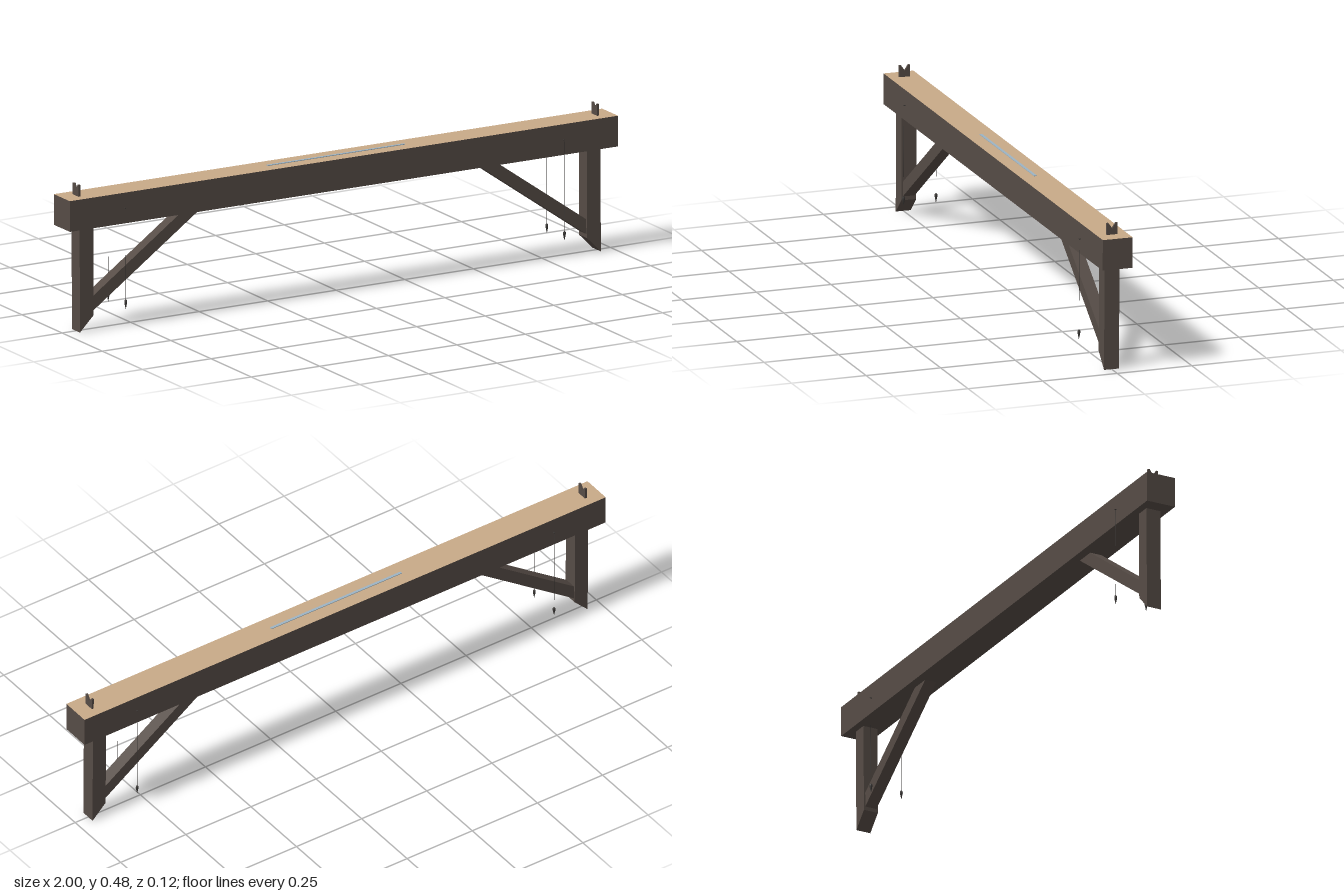
import * as THREE from 'three';

function material(name, color) {
  const m = new THREE.MeshStandardMaterial({ color });
  m.name = name;
  return m;
}

export function createModel() {
  const darkWood = material('dark wood', 0x564c46);
  const lightWood = material('light wood', 0xc8aa88);
  const water = material('water', 0x9db4c4);
  const iron = material('dark iron', 0x3a3735);

  const group = new THREE.Group();
  group.name = 'levellingBench';
  // the whole bench leans very slightly backwards
  const bench = new THREE.Group();
  bench.name = 'bench';
  bench.rotation.x = -0.006;
  bench.position.z = 0.001;
  group.add(bench);

  function add(name, geometry, mat, x = 0, y = 0, z = 0) {
    const mesh = new THREE.Mesh(geometry, mat);
    mesh.name = name;
    mesh.position.set(x, y, z);
    bench.add(mesh);
    return mesh;
  }

  // flat outline extruded symmetrically about its own plane
  function plank(points, depth) {
    const shape = new THREE.Shape(points.map(([x, y]) => new THREE.Vector2(x, y)));
    const geometry = new THREE.ExtrudeGeometry(shape, { depth, bevelEnabled: false });
    return geometry.translate(0, 0, -depth / 2);
  }

  // long beam with a pale top face
  const beamFaces = [darkWood, darkWood, lightWood, darkWood, darkWood, darkWood];
  add('beam', new THREE.BoxGeometry(2, 0.1, 0.1), beamFaces, 0, 0.391);

  // narrow water channel in the middle of the top
  add('waterChannel', new THREE.BoxGeometry(0.5, 0.003, 0.009), water, 0, 0.4415);

  // plumb bob profile
  const bobProfile = [[0, 0.062], [0.0045, 0.083], [0.0045, 0.09], [0.002, 0.093], [0, 0.093]]
    .map(([r, y]) => new THREE.Vector2(r, y));

  for (const s of [-1, 1]) {
    const side = s > 0 ? 'left' : 'right';
    const mirror = (points) => points.map(([x, y]) => [x * s, y]);

    // leg with a slanted foot
    add(side + 'Leg', plank(mirror([[0.95, 0], [0.95, 0.345], [0.9, 0.345], [0.9, 0.05]]), 0.05), darkWood);

    // diagonal brace from leg to beam
    add(side + 'Brace', plank(mirror([[0.905, 0.059], [0.905, 0.107], [0.568, 0.345], [0.5, 0.345]]), 0.04), darkWood);

    // upright sight with a V notch, facing along the beam
    const sight = plank([[-0.018, 0.44], [0.018, 0.44], [0.018, 0.479], [0.012, 0.479],
      [0, 0.461], [-0.012, 0.479], [-0.018, 0.479]], 0.007);
    add(side + 'Sight', sight.rotateY(Math.PI / 2), darkWood, 0.946 * s);

    // plumb lines hanging from pegs on both faces
    for (const f of [-1, 1]) {
      const face = f > 0 ? 'Front' : 'Back';
      const peg = new THREE.CylinderGeometry(0.0015, 0.0015, 0.008, 8).rotateX(Math.PI / 2);
      add(side + face + 'Peg', peg, iron, 0.8 * s, 0.391, 0.0525 * f);
      add(side + face + 'PlumbLine', new THREE.CylinderGeometry(0.0005, 0.0005, 0.3, 6), iron, 0.8 * s, 0.241, 0.0545 * f);
      add(side + face + 'PlumbBob', new THREE.LatheGeometry(bobProfile, 10), iron, 0.8 * s, 0, 0.0545 * f);
    }
  }
  return group;
}
